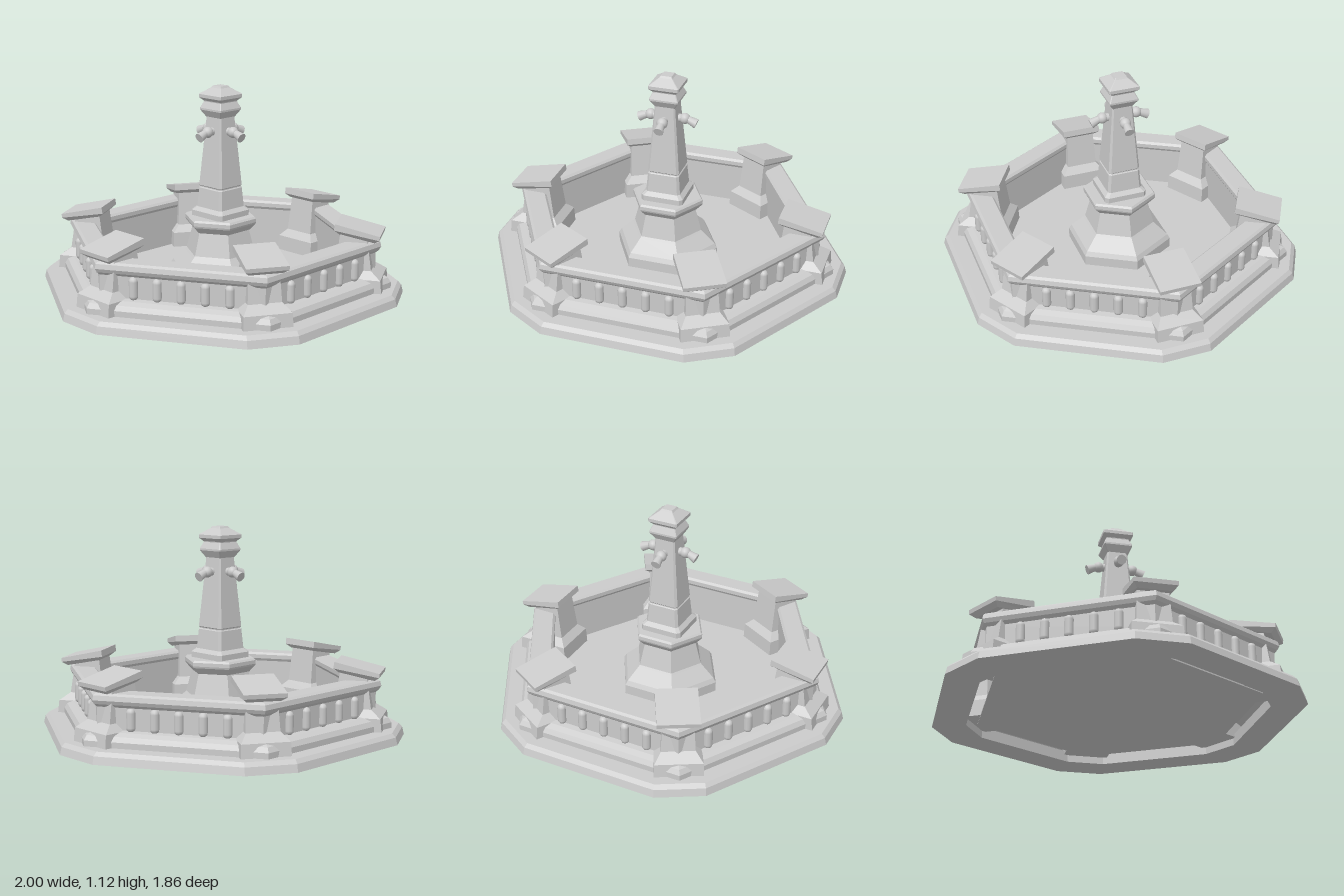
import * as THREE from 'three';

const flat = new THREE.MeshStandardMaterial({ color: 0xcccccc, flatShading: true, side: THREE.DoubleSide });
const smooth = new THREE.MeshStandardMaterial({ color: 0xcccccc });

function add(parent, name, geometry, material = flat) {
  const mesh = new THREE.Mesh(geometry, material);
  mesh.name = name;
  parent.add(mesh);
  return mesh;
}

// Skin over equal-length rings of [x, y, z], optionally closed at both ends
function loft(rings, capped = true) {
  const n = rings[0].length, pos = rings.flat(2), index = [];
  for (let r = 0; r < rings.length - 1; r++) {
    for (let i = 0; i < n; i++) {
      const a = r * n + i, b = r * n + (i + 1) % n;
      index.push(a, b, a + n, b, b + n, a + n);
    }
  }
  if (capped) {
    const last = (rings.length - 1) * n;
    for (let i = 1; i < n - 1; i++) {
      index.push(0, i + 1, i, last, last + i, last + i + 1);
    }
  }
  const g = new THREE.BufferGeometry();
  g.setAttribute('position', new THREE.Float32BufferAttribute(pos, 3));
  g.setIndex(index);
  g.computeVertexNormals();
  return g;
}

// Scale a plan outline along a profile of [scale, y]
const rise = (outline, profile, capped) =>
  loft(profile.map(([s, y]) => outline.map(([x, z]) => [x * s, y, z * s])), capped);

const turn = ([x, z], a) => [x * Math.cos(a) + z * Math.sin(a), z * Math.cos(a) - x * Math.sin(a)];
const sides = [0, 1, 2, 3, 4, 5].map(k => k * Math.PI / 3);

// Plan outlines: hexagon (corners on x), hexagon with cut corners, chamfered square
const hexagon = sides.map(a => turn([-0.5, Math.sqrt(3) / 2], a));
const cutHexagon = sides.flatMap(a => [turn([-0.385, 0.93], a), turn([0.385, 0.93], a)]);
const square = c => [0, 1, 2, 3].flatMap(k =>
  [turn([c - 1, 1], k * Math.PI / 2), turn([1 - c, 1], k * Math.PI / 2)]);

// Rectangular sections [inner x, inner y, outer x, outer y, half width]
const block = sections => loft(sections.map(([xi, yi, xo, yo, h]) =>
  [[xi, yi, h], [xo, yo, h], [xo, yo, -h], [xi, yi, -h]]));

function createBasin() {
  const basin = new THREE.Group();
  basin.name = 'basin';
  add(basin, 'plinth', rise(cutHexagon,
    [[0.81, 0], [1, 0], [0.99, 0.04], [0.97, 0.06], [0.81, 0.06], [0.81, 0]], false));
  add(basin, 'basinFloor', rise(hexagon, [[0.79, 0.035], [0.79, 0.045]]));

  // Wall profile given as distance to the flat sides
  const wall = [[0.82, 0.05], [0.82, 0.09], [0.805, 0.115], [0.775, 0.13], [0.745, 0.135], [0.745, 0.25],
    [0.76, 0.265], [0.77, 0.285], [0.765, 0.31], [0.752, 0.32], [0.655, 0.32], [0.643, 0.308],
    [0.643, 0.285], [0.652, 0.27], [0.652, 0.04]];
  add(basin, 'basinWall', rise(hexagon, wall.map(([d, y]) => [d / Math.cos(Math.PI / 6), y]), false));

  // Five rounded balusters on each side
  const baluster = new THREE.CapsuleGeometry(0.024, 0.075, 4, 10);
  for (const a of sides) {
    const row = new THREE.Group();
    row.name = 'balusterRow';
    row.rotation.y = a;
    for (let i = -2; i <= 2; i++) {
      add(row, 'baluster', baluster, smooth).position.set(i * 0.125, 0.19, 0.745);
    }
    basin.add(row);
  }
  return basin;
}

function createPillar() {
  const pillar = new THREE.Group();
  pillar.name = 'cornerPillar';
  add(pillar, 'pillarBody', block([
    [0.615, 0.04, 0.915, 0.04, 0.128],
    [0.62, 0.13, 0.905, 0.13, 0.125],
    [0.655, 0.17, 0.85, 0.17, 0.088],
    [0.68, 0.365, 0.825, 0.335, 0.08],
  ]));
  // Sloping cap stone
  add(pillar, 'pillarCap', block([
    [0.675, 0.362, 0.865, 0.325, 0.088],
    [0.65, 0.385, 0.892, 0.345, 0.11],
    [0.655, 0.42, 0.895, 0.367, 0.11],
  ]));
  return pillar;
}

function createSpout() {
  const spout = new THREE.Group();
  spout.name = 'spout';
  const arm = add(spout, 'spoutArm', new THREE.CylinderGeometry(0.022, 0.022, 0.06, 12), smooth);
  arm.rotation.z = Math.PI / 2;
  arm.position.set(0.07, 0.872, 0);
  add(spout, 'spoutKnuckle', new THREE.SphereGeometry(0.03, 14, 10), smooth).position.set(0.096, 0.872, 0);
  const nozzle = add(spout, 'spoutNozzle', new THREE.CylinderGeometry(0.027, 0.017, 0.065, 12), smooth);
  nozzle.rotation.z = -Math.PI / 2 - 0.4;
  nozzle.position.set(0.13, 0.862, 0);
  return spout;
}

function createColumn() {
  const column = new THREE.Group();
  column.name = 'column';
  add(column, 'columnFoot', rise(hexagon,
    [[0.29, 0.04], [0.29, 0.1], [0.275, 0.125], [0.205, 0.19], [0.195, 0.2], [0.16, 0.33]]));
  add(column, 'hexagonalCollar', rise(hexagon,
    [[0.165, 0.325], [0.198, 0.36], [0.202, 0.37], [0.202, 0.39], [0.192, 0.4]]));
  add(column, 'shaft', rise(square(0.14),
    [[0.118, 0.395], [0.118, 0.43], [0.097, 0.45], [0.088, 0.555], [0.083, 0.56], [0.083, 0.565],
      [0.088, 0.57], [0.056, 0.955]]));
  add(column, 'capital', rise(square(0.06),
    [[0.055, 0.945], [0.08, 0.985], [0.08, 0.995], [0.064, 1.03], [0.066, 1.04]]));
  add(column, 'finial', rise(square(0.06),
    [[0.066, 1.035], [0.084, 1.052], [0.084, 1.07], [0.037, 1.105], [0.03, 1.115]]));
  for (let k = 0; k < 4; k++) {
    const spout = createSpout();
    spout.rotation.y = k * Math.PI / 2;
    column.add(spout);
  }
  return column;
}

export function createModel() {
  const fountain = new THREE.Group();
  fountain.name = 'fountain';
  fountain.add(createBasin(), createColumn());
  for (const a of sides) {
    const pillar = createPillar();
    pillar.rotation.y = a;
    fountain.add(pillar);
  }
  return fountain;
}
